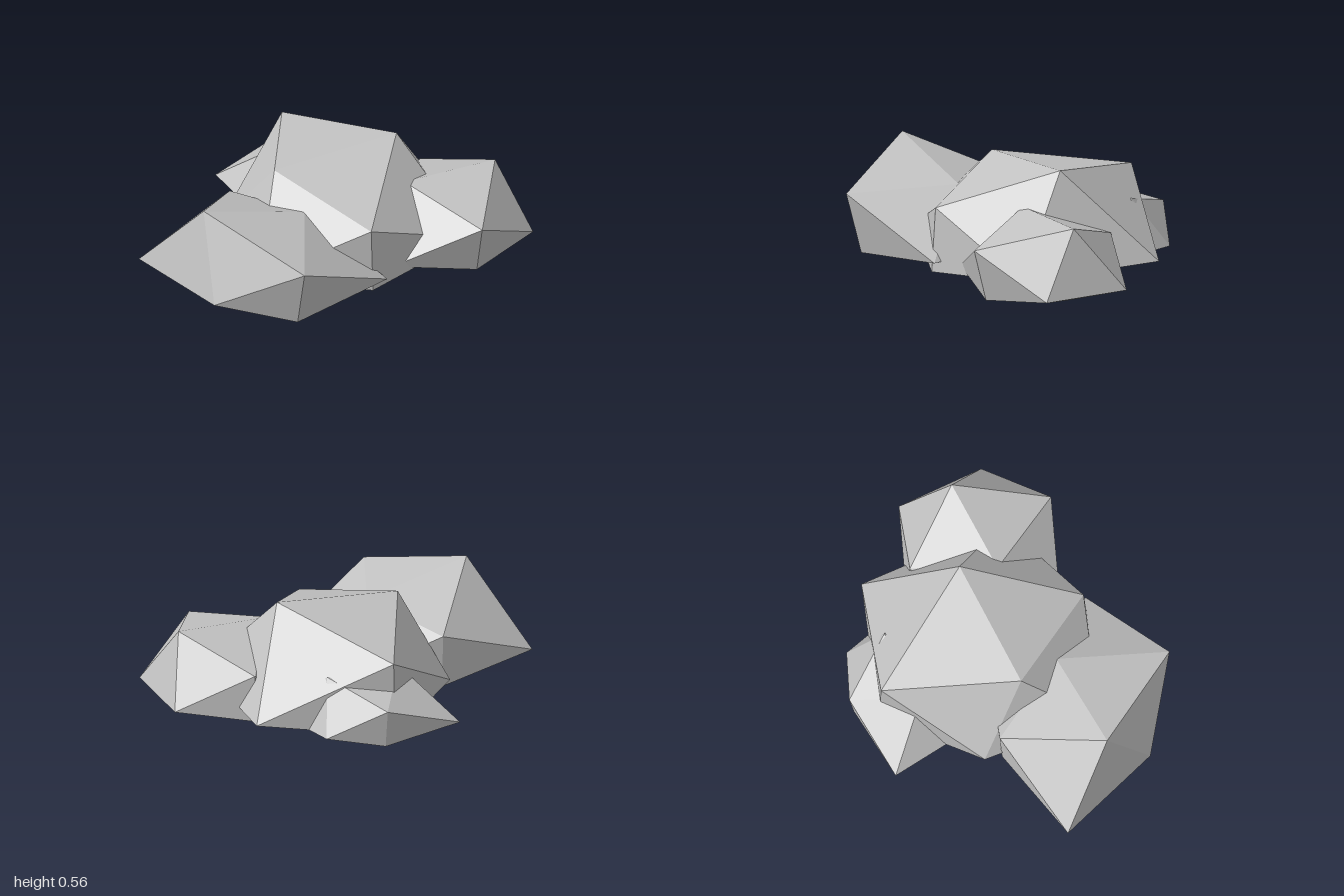
import * as THREE from 'three';

const T = (1 + Math.sqrt(5)) / 2;

// Corner directions of a twenty-sided solid, and its faces
const CORNERS = [
  [-1, T, 0], [1, T, 0], [-1, -T, 0], [1, -T, 0],
  [0, -1, T], [0, 1, T], [0, -1, -T], [0, 1, -T],
  [T, 0, -1], [T, 0, 1], [-T, 0, -1], [-T, 0, 1],
];
const FACES = [
  0, 11, 5, 0, 5, 1, 0, 1, 7, 0, 7, 10, 0, 10, 11,
  1, 5, 9, 5, 11, 4, 11, 10, 2, 10, 7, 6, 7, 1, 8,
  3, 9, 4, 3, 4, 2, 3, 2, 6, 3, 6, 8, 3, 8, 9,
  4, 9, 5, 2, 4, 11, 6, 2, 10, 8, 6, 7, 9, 8, 1,
];

// Each rock: centre, vertical squash and the reach of every corner
const ROCKS = [
  { name: 'mainRock', centre: [0.035, 0.08, 0], squash: 0.8,
    reach: [0.318, 0.367, 0.315, 0.365, 0.342, 0.328, 0.408, 0.402, 0.414, 0.386, 0.297, 0.338] },
  { name: 'rightRock', centre: [-0.445, 0.068, 0.24], squash: 0.79,
    reach: [0.337, 0.228, 0.335, 0.28, 0.278, 0.334, 0.27, 0.278, 0.28, 0.34, 0.343, 0.232] },
  { name: 'leftRock', centre: [0.61, 0.06, 0.2], squash: 0.795,
    reach: [0.25, 0.26, 0.23, 0.22, 0.23, 0.274, 0.25, 0.235, 0.241, 0.232, 0.25, 0.267] },
  { name: 'backRock', centre: [0.13, 0.05, -0.475], squash: 0.8,
    reach: [0.2, 0.203, 0.2, 0.2, 0.2, 0.2, 0.176, 0.192, 0.177, 0.238, 0.266, 0.235] },
];

// Push corners in or out, then flatten the underside onto the ground
function rockGeometry({ centre: [cx, cy, cz], squash, reach }) {
  const points = CORNERS.flatMap(([x, y, z], i) => [
    cx + x * reach[i],
    Math.max(0, cy + y * reach[i] * squash),
    cz + z * reach[i],
  ]);
  const indexed = new THREE.BufferGeometry();
  indexed.setAttribute('position', new THREE.Float32BufferAttribute(points, 3));
  indexed.setIndex(FACES);
  const geometry = indexed.toNonIndexed();
  geometry.computeVertexNormals();
  return geometry;
}

export function createModel() {
  const group = new THREE.Group();
  group.name = 'rockCluster';
  const stone = new THREE.MeshStandardMaterial({ color: 0xc2c2c2, flatShading: true });
  stone.name = 'stone grey';
  for (const rock of ROCKS) {
    const mesh = new THREE.Mesh(rockGeometry(rock), stone);
    mesh.name = rock.name;
    group.add(mesh);
  }
  return group;
}
